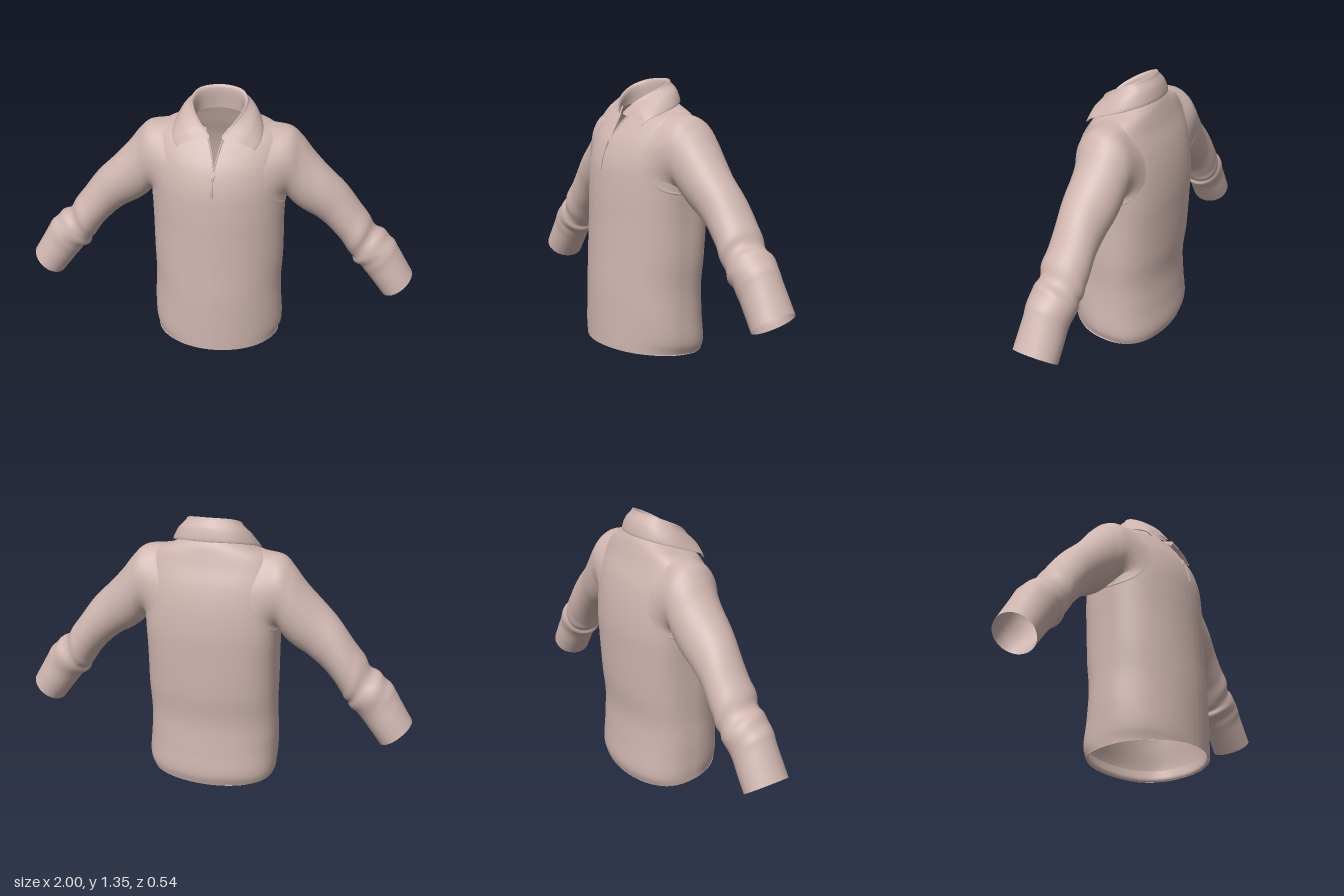
import * as THREE from 'three';

const V = (x, y, z) => new THREE.Vector3(x, y, z);
const { lerp, smoothstep } = THREE.MathUtils;

// Smooth surface through key rings (equal point counts); push(u, v) moves it along its normals.
function loft(keys, steps, { closed = false, push } = {}) {
  const cols = keys[0].length, spans = closed ? cols : cols - 1;
  const curves = keys[0].map((_, j) => new THREE.CatmullRomCurve3(keys.map(r => r[j])));
  const pos = [], index = [];
  for (let i = 0; i <= steps; i++)
    for (let j = 0; j < cols; j++) pos.push(...curves[j].getPoint(i / steps).toArray());
  for (let i = 0; i < steps; i++)
    for (let j = 0; j < spans; j++) {
      const a = i * cols + j, b = i * cols + ((j + 1) % cols);
      index.push(a, b, b + cols, a, b + cols, a + cols);
    }
  const geo = new THREE.BufferGeometry();
  geo.setAttribute('position', new THREE.Float32BufferAttribute(pos, 3));
  geo.setIndex(index);
  geo.computeVertexNormals();
  if (push) {
    const p = geo.attributes.position, n = geo.attributes.normal;
    for (let k = 0; k < p.count; k++) {
      const h = push(Math.floor(k / cols) / steps, (k % cols) / spans);
      p.setXYZ(k, p.getX(k) + n.getX(k) * h, p.getY(k) + n.getY(k) * h, p.getZ(k) + n.getZ(k) * h);
    }
    geo.computeVertexNormals();
  }
  return geo;
}

// Torso levels: y, half width, front z, back z, half width of the front opening
const TORSO = [
  [0.025, 0.325, 0.272, -0.25, 0],
  [0.08, 0.336, 0.272, -0.266, 0],
  [0.2, 0.334, 0.272, -0.256, 0],
  [0.35, 0.328, 0.27, -0.246, 0],
  [0.5, 0.33, 0.262, -0.26, 0],
  [0.68, 0.328, 0.254, -0.265, 0],
  [0.82, 0.331, 0.248, -0.265, 0],
  [0.95, 0.332, 0.234, -0.25, 0],
  [1.05, 0.328, 0.2, -0.225, 0],
  [1.13, 0.312, 0.148, -0.193, 0.018],
  [1.175, 0.275, 0.122, -0.172, 0.03],
  [1.202, 0.2, 0.106, -0.158, 0.04],
  [1.235, 0.125, 0.09, -0.135, 0.05],
];

// Point on a torso level at angle t from the front
function torsoPoint([y, w, zf, zb], t) {
  const c = Math.cos(t);
  const z = c > 0 ? zf * Math.pow(c, 1.06) : zb * Math.pow(-c, lerp(0.7, 0.5, smoothstep(y, 0.3, 0.8)));
  // the hem dips towards the back and the neckline rises there
  const tilt = 0.1 * Math.max(0, 1 - y / 0.5) - 0.2 * smoothstep(y, 1.12, 1.235);
  return V(w * Math.sin(t), y + tilt * z, z);
}

const openingAngle = level => Math.asin(level[4] / level[1]);

function torsoRing(level) {
  const gap = openingAngle(level), n = 80;
  return Array.from({ length: n + 1 }, (_, j) => torsoPoint(level, gap + (j / n) * 2 * (Math.PI - gap)));
}

// Torso level at any height
function levelAt(y) {
  const i = TORSO.findIndex(l => l[0] > y);
  const a = TORSO[i - 1], b = TORSO[i], k = (y - a[0]) / (b[0] - a[0]);
  return a.map((v, m) => lerp(v, b[m], k));
}

const ARM_SIDES = 48;

// Armhole ring lying on the torso: half height, half angle, offset along x
function armholeRing(h, spread, out) {
  return Array.from({ length: ARM_SIDES }, (_, j) => {
    const a = (j / ARM_SIDES) * 2 * Math.PI;
    const p = torsoPoint(levelAt(1.008 + h * Math.cos(a)), Math.PI / 2 - spread * Math.sin(a));
    return p.add(V(out, 0, 0));
  });
}

// Sleeve stations: top x, y, bottom x, y, front z, back z
const SLEEVE = [
  [0.345, 1.181, 0.328, 0.833, 0.098, -0.192],
  [0.4, 1.13, 0.37, 0.787, 0.076, -0.188],
  [0.45, 1.068, 0.42, 0.748, 0.068, -0.182],
  [0.54, 0.97, 0.49, 0.71, 0.063, -0.17],
  [0.62, 0.885, 0.55, 0.665, 0.056, -0.168],
  [0.7, 0.785, 0.61, 0.597, 0.054, -0.168],
  [0.75, 0.722, 0.652, 0.535, 0.058, -0.167],
  [0.79, 0.662, 0.677, 0.5, 0.052, -0.157],
  [0.84, 0.628, 0.692, 0.472, 0.06, -0.163],
  [0.888, 0.588, 0.728, 0.44, 0.058, -0.157],
  [0.912, 0.55, 0.762, 0.4, 0.055, -0.15],
  [0.952, 0.482, 0.805, 0.345, 0.058, -0.152],
  [0.998, 0.406, 0.853, 0.282, 0.062, -0.152],
];

function sleeveRing([tx, ty, bx, by, zf, zb]) {
  return Array.from({ length: ARM_SIDES }, (_, j) => {
    const t = (j / ARM_SIDES) * 2 * Math.PI, c = Math.cos(t) / 2;
    return V((tx + bx) / 2 + (tx - bx) * c, (ty + by) / 2 + (ty - by) * c,
      (zf + zb) / 2 + ((zf - zb) / 2) * Math.sin(t));
  });
}

// Slanted, uneven folds, strongest on the forearm and gone at the cuff
function sleeveFolds(u, v) {
  const a = v * 2 * Math.PI;
  const fore = Math.exp(-Math.pow((u - 0.67) / 0.12, 2));
  const upper = Math.exp(-Math.pow((u - 0.4) / 0.11, 2));
  return 0.007 * fore * Math.sin(u * 46 + 1.8 * Math.sin(a + 0.6)) * (0.55 + 0.45 * Math.sin(2 * a + u * 20))
    + 0.004 * upper * Math.sin(u * 18 + 2 * a);
}

// Half row of collar points (front to back) mirrored into a full, evenly sampled row
function collarRow(half) {
  const other = half.slice(0, -1).reverse().map(p => V(-p.x, p.y, p.z));
  return new THREE.CatmullRomCurve3([...half, ...other]).getPoints(60);
}

function collarGeometry() {
  const top = [V(0.03, 1.2, 0.132), V(0.075, 1.245, 0.1), V(0.12, 1.29, 0.035),
    V(0.135, 1.322, -0.03), V(0.105, 1.346, -0.09), V(0, 1.355, -0.124)];
  const bottom = [V(0.183, 1.137, 0.134), V(0.204, 1.165, 0.104), V(0.212, 1.2, 0.015),
    V(0.192, 1.226, -0.065), V(0.125, 1.246, -0.136), V(0, 1.25, -0.162)];
  const base = [V(0.03, 1.185, 0.118), V(0.07, 1.2, 0.085), V(0.105, 1.218, 0.03),
    V(0.115, 1.228, -0.03), V(0.09, 1.235, -0.085), V(0, 1.238, -0.115)];
  const inward = (p, d, dy) => V(p.x * (1 - d), p.y + dy, p.z * (1 - d));
  const rows = [
    bottom.map(p => inward(p, 0.07, 0.004)),
    bottom,
    bottom.map((p, i) => inward(p.clone().lerp(top[i], 0.5), -0.05, 0.006)),
    top.map(p => inward(p, -0.03, -0.012)),
    top.map(p => inward(p, 0.03, 0)),
    top.map(p => inward(p, 0.11, -0.014)),
    base,
  ];
  return loft(rows.map(collarRow), 36);
}

export function createModel() {
  const shirt = new THREE.Group();
  shirt.name = 'shirt';
  const cloth = new THREE.MeshStandardMaterial({ color: 0xcfb5af, side: THREE.DoubleSide });
  cloth.name = 'dusty pink cloth';
  const add = (name, geo) => {
    const mesh = new THREE.Mesh(geo, cloth);
    mesh.name = name;
    shirt.add(mesh);
    return mesh;
  };

  // Body with soft drapes at the sides
  add('body', loft(TORSO.map(torsoRing), 84, {
    push: (u, v) => 0.004 * Math.sin(u * 26 + v * 20) * Math.sin(v * Math.PI * 2) ** 2 * Math.max(0, 1 - u * 1.7),
  }));

  // Turned-in hem
  add('hemLining', loft(TORSO.slice(0, 2).map(torsoRing), 6, {
    push: u => -0.012 * Math.min(1, u * 3),
  }));

  // Sleeves flowing out of the armholes, with turned-in cuffs
  const sleeveKeys = [armholeRing(0.2, 0.98, -0.012), armholeRing(0.186, 0.84, 0.002), ...SLEEVE.map(sleeveRing)];
  for (const side of [1, -1]) {
    const name = side > 0 ? 'left' : 'right';
    add(name + 'Sleeve', loft(sleeveKeys, 112, { closed: true, push: sleeveFolds })).scale.x = side;
    add(name + 'CuffLining', loft(sleeveKeys.slice(-2), 6, {
      closed: true, push: u => -0.008 * Math.min(1, (1 - u) * 3),
    })).scale.x = side;
  }

  add('collar', collarGeometry());

  // Zip tapes along the neck opening
  const zipPath = new THREE.CatmullRomCurve3(TORSO.slice(8, 12).map(l => torsoPoint(l, openingAngle(l))));
  for (const side of [1, -1])
    add('zipEdge', new THREE.TubeGeometry(zipPath, 24, 0.005, 6)).scale.x = side;

  // Zip slider and hanging pull
  const slider = add('zipSlider', new THREE.BoxGeometry(0.018, 0.035, 0.012));
  slider.position.set(-0.004, 1.04, 0.208);
  slider.rotation.x = -0.4;
  const pullPath = new THREE.CatmullRomCurve3(
    [V(-0.004, 1.05, 0.205), V(-0.004, 0.99, 0.229), V(-0.004, 0.925, 0.245)]);
  add('zipPull', new THREE.TubeGeometry(pullPath, 12, 0.005, 8));
  return shirt;
}
